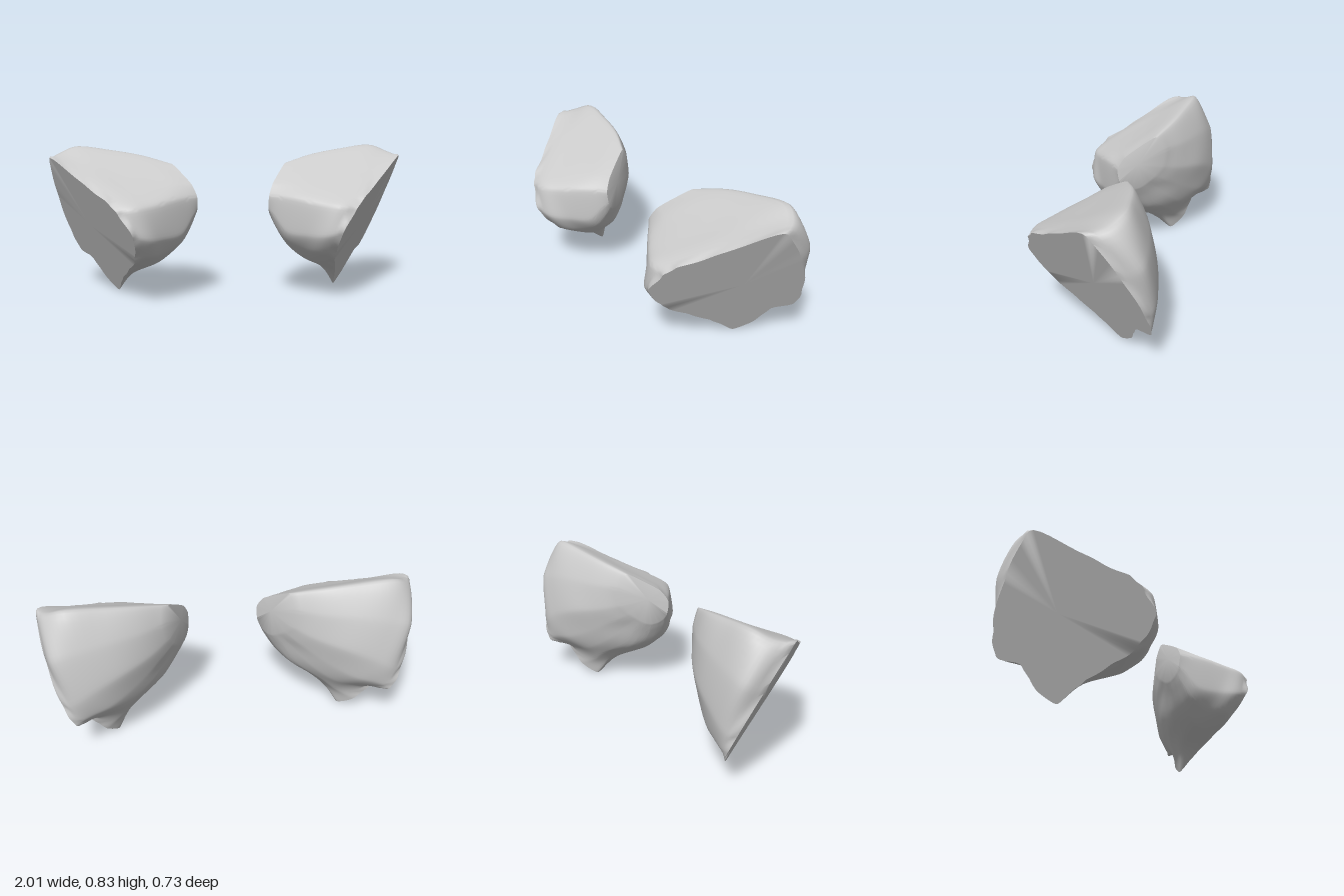
import * as THREE from 'three';
import { toCreasedNormals } from 'three/addons/utils/BufferGeometryUtils.js';

const AROUND = 112;  // points round each section
const DEEP = 24;     // rings from the flat outer face to the inner end

// Flat outer face leans outward; sections lie `depth` inward, deeper near the top by `lean`.
const onSection = (z, y, depth, lean) =>
  new THREE.Vector3(0.555 - 0.57 * z + 0.52 * y - depth * (1 + lean * (y - 0.5)), y, z);

// Closed outline from [z, y] pairs: top back, front, underside, tip, back.
function section(depth, lean, pairs) {
  const pts = pairs.map(([z, y]) => onSection(z, y, depth, lean));
  const curve = new THREE.CatmullRomCurve3(pts, true, 'catmullrom', 0.3);
  return Array.from({ length: AROUND }, (_, i) => curve.getPoint(i / AROUND));
}

function sections() {
  const face = section(0, 0, [
    [-0.085, 0.765], [0.14, 0.65], [0.285, 0.565], [0.34, 0.505], [0.358, 0.385],
    [0.27, 0.262], [0.12, 0.17], [-0.055, 0.065], [-0.143, 0], [-0.215, 0.06],
    [-0.255, 0.165], [-0.35, 0.215], [-0.34, 0.33], [-0.235, 0.555]]);
  const shoulder = section(0.1, 0.3, [
    [-0.17, 0.79], [0.1, 0.67], [0.27, 0.575], [0.335, 0.52], [0.325, 0.365],
    [0.245, 0.26], [0.1, 0.175], [-0.04, 0.12], [-0.11, 0.09], [-0.175, 0.105],
    [-0.25, 0.18], [-0.34, 0.25], [-0.365, 0.36], [-0.32, 0.6]]);
  const body = section(0.22, 0.3, [
    [-0.22, 0.825], [0.04, 0.69], [0.22, 0.59], [0.285, 0.53], [0.252, 0.36],
    [0.18, 0.268], [0.08, 0.2], [-0.02, 0.175], [-0.09, 0.17], [-0.16, 0.175],
    [-0.23, 0.21], [-0.31, 0.28], [-0.355, 0.41], [-0.325, 0.63]]);
  const dome = section(0.38, 0.3, [
    [-0.2, 0.805], [0, 0.7], [0.15, 0.61], [0.207, 0.55], [0.17, 0.375],
    [0.125, 0.315], [0.06, 0.28], [0, 0.265], [-0.05, 0.26], [-0.1, 0.27],
    [-0.17, 0.3], [-0.24, 0.36], [-0.31, 0.47], [-0.29, 0.65]]);
  const end = section(0.5, 0.42, [
    [-0.165, 0.775], [0, 0.69], [0.095, 0.625], [0.14, 0.56], [0.122, 0.45],
    [0.09, 0.4], [0.05, 0.38], [0.01, 0.37], [-0.03, 0.375], [-0.06, 0.385],
    [-0.1, 0.41], [-0.165, 0.44], [-0.225, 0.51], [-0.23, 0.65]]);
  const close = section(0.565, 0.75, [
    [-0.1, 0.73], [-0.01, 0.68], [0.065, 0.625], [0.1, 0.56], [0.09, 0.49],
    [0.07, 0.46], [0.045, 0.44], [0.01, 0.43], [-0.02, 0.435], [-0.045, 0.45],
    [-0.07, 0.47], [-0.1, 0.5], [-0.135, 0.55], [-0.145, 0.65]]);
  return [face, shoulder, body, dome, end, close];
}

function chunkGeometry(side) {
  const rows = sections();
  const positions = [];
  const index = [];
  const add = (p) => positions.push(side * p.x, p.y, p.z) / 3 - 1;
  const tri = (a, b, c) => (side > 0 ? index.push(a, b, c) : index.push(a, c, b));

  // Run a curve inward through matching points of all sections
  const columns = Array.from({ length: AROUND }, (_, i) =>
    new THREE.CatmullRomCurve3(rows.map((r) => r[i])).getPoints(DEEP));
  for (let j = 0; j <= DEEP; j++) {
    for (let i = 0; i < AROUND; i++) {
      const p = columns[i][j];
      // Chipped rim round the outer face
      if (j < 2 && p.y > 0.1) {
        const k = 0.012 * (Math.sin(i * 0.9 + j) + Math.sin(i * 0.45 + j * 0.7));
        const dz = p.z * k, dy = (p.y - 0.42) * k;
        p.add(new THREE.Vector3(0.52 * dy - 0.57 * dz, dy, dz));
      }
      add(p);
    }
  }
  for (let j = 0; j < DEEP; j++) {
    for (let i = 0; i < AROUND; i++) {
      const n = (i + 1) % AROUND;
      const a = j * AROUND + i, b = j * AROUND + n;
      tri(a, a + AROUND, b);
      tri(b, a + AROUND, b + AROUND);
    }
  }
  // Flat outer face and the small inner end
  const outer = add(onSection(-0.05, 0.4, 0, 0));
  const inner = add(onSection(-0.01, 0.58, 0.577, 0.75));
  const last = DEEP * AROUND;
  for (let i = 0; i < AROUND; i++) {
    const n = (i + 1) % AROUND;
    tri(outer, i, n);
    tri(inner, last + n, last + i);
  }

  const geometry = new THREE.BufferGeometry();
  geometry.setAttribute('position', new THREE.Float32BufferAttribute(positions, 3));
  geometry.setIndex(index);
  return toCreasedNormals(geometry, 0.9);
}

export function createModel() {
  const model = new THREE.Group();
  const material = new THREE.MeshStandardMaterial({ color: 0xcccccc });
  for (const [name, side] of [['leftChunk', 1], ['rightChunk', -1]]) {
    const chunk = new THREE.Mesh(chunkGeometry(side), material);
    chunk.name = name;
    model.add(chunk);
  }
  return model;
}
